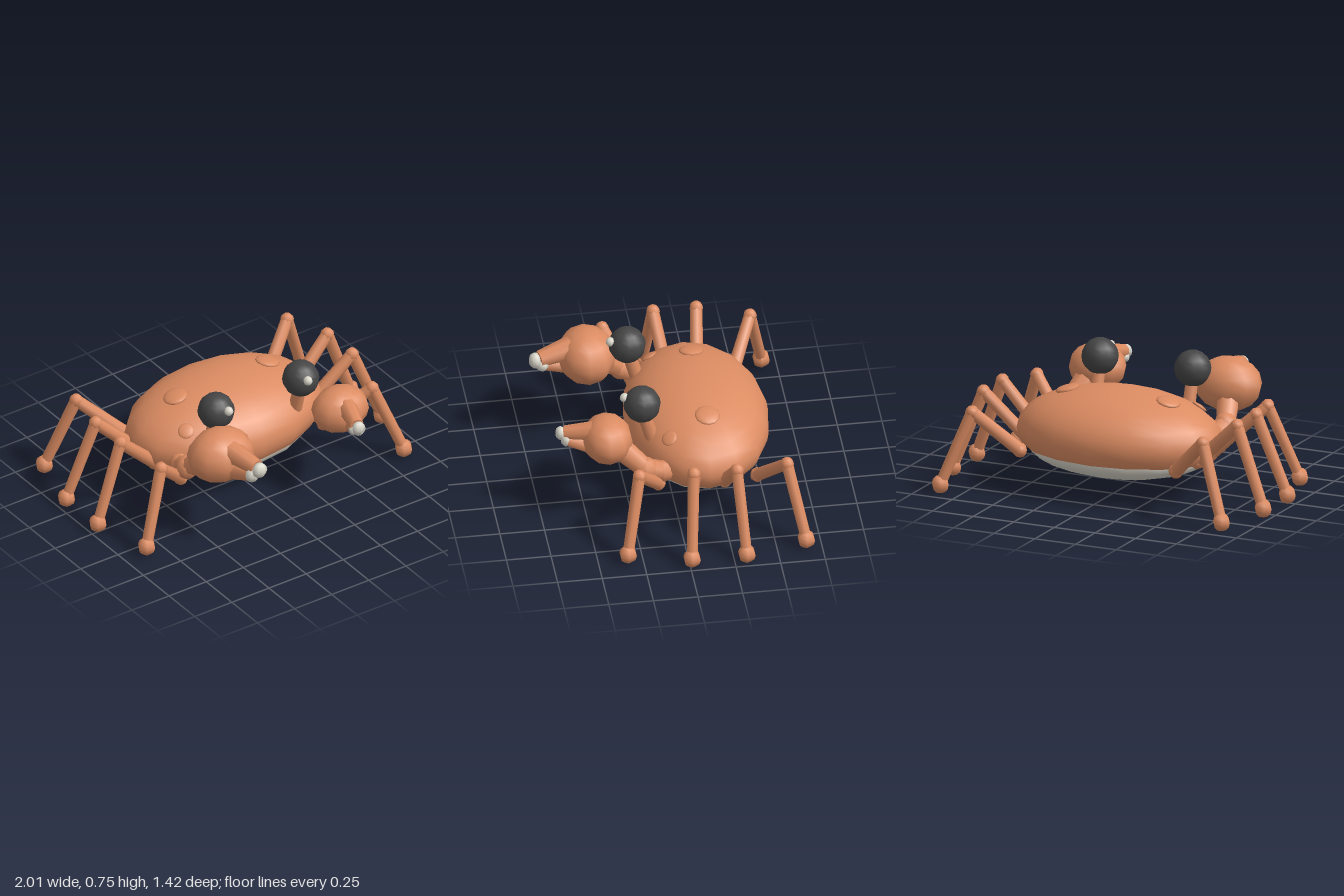
import * as THREE from 'three';

const shellMat = new THREE.MeshStandardMaterial({ color: 0xdc8c62 });
shellMat.name = 'shell orange';
const darkMat = new THREE.MeshStandardMaterial({ color: 0x454545 });
darkMat.name = 'eye charcoal';
const paleMat = new THREE.MeshStandardMaterial({ color: 0xd9d5c9 });
paleMat.name = 'belly cream';

const V = (x, y, z) => new THREE.Vector3(x, y, z);

function add(parent, name, geometry, material, pos) {
  const mesh = new THREE.Mesh(geometry, material);
  mesh.name = name;
  if (pos) mesh.position.copy(pos);
  parent.add(mesh);
  return mesh;
}

// Ellipsoid with separate radii
function blob(parent, name, pos, [rx, ry, rz], material, ws = 10, hs = 8, theta = Math.PI) {
  const g = new THREE.SphereGeometry(1, ws, hs, 0, Math.PI * 2, 0, theta).scale(rx, ry, rz);
  return add(parent, name, g, material, pos);
}

function ball(parent, name, pos, r, material = shellMat, ws = 7, hs = 6) {
  return blob(parent, name, pos, [r, r, r], material, ws, hs);
}

// Tapered limb from a to b
function limb(parent, name, a, b, ra, rb, material = shellMat) {
  const d = b.clone().sub(a);
  const g = new THREE.CylinderGeometry(rb, ra, d.length(), 8);
  const mesh = add(parent, name, g, material, a.clone().add(b).multiplyScalar(0.5));
  mesh.quaternion.setFromUnitVectors(V(0, 1, 0), d.normalize());
  return mesh;
}

const shellCentre = V(0, 0.33, -0.17);
const shellRadii = [0.605, 0.258, 0.405];

// Flattened bump lying on the shell surface
function bump(parent, x, z, r) {
  const [a, b, c] = shellRadii;
  const dz = z - shellCentre.z;
  const dy = b * Math.sqrt(1 - (x / a) ** 2 - (dz / c) ** 2);
  const normal = V(x / a ** 2, dy / b ** 2, dz / c ** 2).normalize();
  const mesh = blob(parent, 'shellBump', V(x, shellCentre.y + dy, z), [r, r * 0.28, r], shellMat, 12, 8);
  mesh.quaternion.setFromUnitVectors(V(0, 1, 0), normal);
}

// Hip, knee and foot of each leg on the +x side
const legs = [
  [V(0.48, 0.24, 0.11), V(0.71, 0.465, 0.25), V(0.865, 0.052, 0.335)],
  [V(0.52, 0.25, -0.085), V(0.78, 0.5, -0.045), V(0.955, 0.052, -0.01)],
  [V(0.52, 0.25, -0.255), V(0.78, 0.5, -0.287), V(0.955, 0.052, -0.317)],
  [V(0.48, 0.24, -0.445), V(0.71, 0.465, -0.578), V(0.865, 0.052, -0.663)],
];

function makeLeg([hip, knee, foot], s) {
  const leg = new THREE.Group();
  leg.name = 'leg';
  const [h, k, f] = [hip, knee, foot].map((p) => V(p.x * s, p.y, p.z));
  ball(leg, 'hip', h, 0.042);
  limb(leg, 'upperLeg', h, k, 0.038, 0.034);
  ball(leg, 'knee', k, 0.039);
  limb(leg, 'lowerLeg', k, f, 0.034, 0.031);
  ball(leg, 'foot', f, 0.052, shellMat, 6, 6);
  return leg;
}

function makeEye(s) {
  const eye = new THREE.Group();
  eye.name = 'eye';
  limb(eye, 'eyeStalk', V(0.285 * s, 0.36, 0.1), V(0.285 * s, 0.62, 0.175), 0.04, 0.036);
  ball(eye, 'eyeball', V(0.285 * s, 0.648, 0.172), 0.104, darkMat, 12, 10);
  ball(eye, 'eyeGlint', V(0.267 * s, 0.688, 0.268), 0.027, paleMat, 8, 6);
  return eye;
}

// Claw and arm; k scales the pincer so one side is heavier
function makeClaw(s, k) {
  const claw = new THREE.Group();
  claw.name = 'claw';
  const p = (x, y, z) => V(x * s, y, z);
  ball(claw, 'shoulder', p(0.46, 0.31, 0.08), 0.065, shellMat, 8, 6);
  limb(claw, 'forearm', p(0.46, 0.31, 0.08), p(0.485, 0.35, 0.18), 0.055, 0.06);
  ball(claw, 'elbow', p(0.485, 0.35, 0.18), 0.068, shellMat, 8, 6);
  limb(claw, 'wrist', p(0.485, 0.35, 0.18), p(0.43, 0.48, 0.33), 0.055, 0.07);
  const c = V(0.403 * s, 0.518, 0.385);
  blob(claw, 'palm', c, [0.197 * k, 0.155 * k, 0.165 * k], shellMat, 10, 8);
  const q = (x, y, z) => V(c.x + x * s * k, c.y + y * k, c.z + z * k);
  const fingers = [
    ['upperFinger', q(-0.01, 0.065, 0.09), q(-0.057, 0.038, 0.27), q(-0.06, 0.032, 0.295), 0.067],
    ['lowerFinger', q(0, -0.05, 0.09), q(-0.032, -0.008, 0.25), q(-0.034, -0.004, 0.263), 0.058],
  ];
  for (const [name, base, end, tip, r] of fingers) {
    limb(claw, name, base, end, r * k, r * 0.7 * k);
    blob(claw, name + 'Tip', tip, [0.046 * k, 0.046 * k, 0.036 * k], paleMat, 7, 6);
  }
  // small side tooth
  ball(claw, 'clawTooth', q(-0.07, 0.002, 0.255), 0.035 * k, paleMat);
  return claw;
}

export function createModel() {
  const crab = new THREE.Group();
  crab.name = 'crab';

  // Body: open-bottomed shell over a pale belly
  blob(crab, 'shell', shellCentre, shellRadii, shellMat, 16, 10, 1.95);
  blob(crab, 'belly', V(0, 0.24, -0.17), [0.54, 0.142, 0.375], paleMat, 16, 10);

  for (const s of [1, -1]) {
    bump(crab, 0.31 * s, -0.19, 0.07);
    bump(crab, 0.393 * s, 0.035, 0.046);
    crab.add(makeEye(s));
    legs.forEach((leg) => crab.add(makeLeg(leg, s)));
    crab.add(makeClaw(s, s > 0 ? 0.86 : 1));
  }
  return crab;
}
